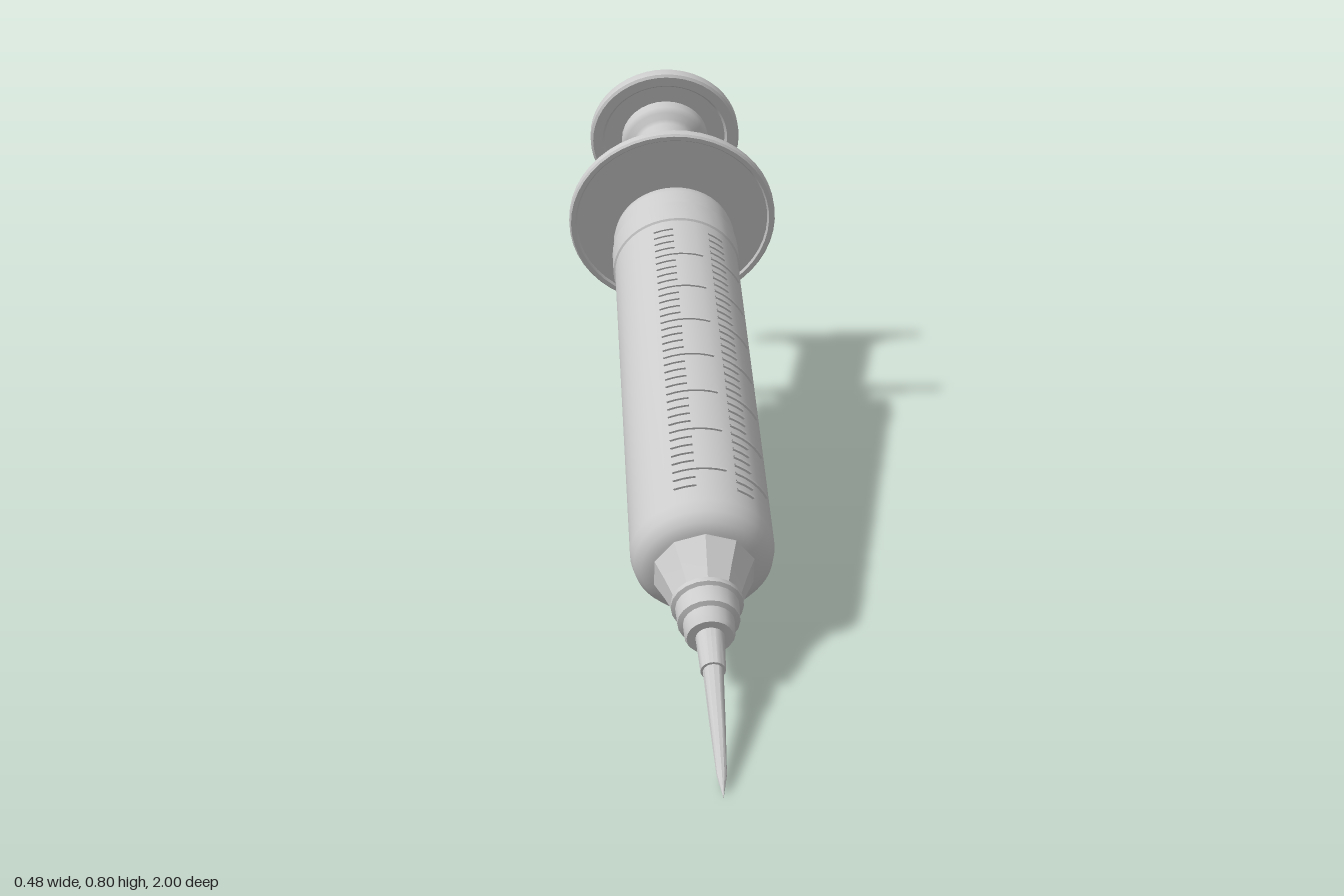
import * as THREE from 'three';
import { toCreasedNormals } from 'three/addons/utils/BufferGeometryUtils.js';

export function createModel() {
  const model = new THREE.Group();
  model.name = 'syringe';
  const body = new THREE.Group();
  body.name = 'tiltedBody';
  model.add(body);

  const material = new THREE.MeshStandardMaterial({ color: 0xcccccc });
  const thin = new THREE.MeshStandardMaterial({ color: 0xcccccc, side: THREE.DoubleSide });

  // Turned part: profile of [radius, distance from the needle tip]
  function turned(name, profile, sides = 40, crease = 0.6) {
    const pts = profile.map(([r, s]) => new THREE.Vector2(r, s));
    const geo = toCreasedNormals(new THREE.LatheGeometry(pts, sides), crease);
    const mesh = new THREE.Mesh(geo, material);
    mesh.name = name;
    body.add(mesh);
    return mesh;
  }

  // Needle, its point bent slightly towards the underside
  const needle = turned('needle', [[0, -0.006], [0.009, 0.04], [0.014, 0.14], [0.019, 0.265]], 12);
  const pos = needle.geometry.attributes.position;
  for (let i = 0; i < pos.count; i++) {
    pos.setZ(i, pos.getZ(i) - 0.022 * (1 - pos.getY(i) / 0.265));
  }
  needle.geometry.computeBoundingSphere();

  // Needle hub with stepped collar
  turned('needleHub', [
    [0, 0.26], [0.023, 0.26], [0.027, 0.34], [0.043, 0.34], [0.047, 0.347], [0.048, 0.375],
    [0.058, 0.378], [0.06, 0.415], [0.068, 0.418], [0.068, 0.428], [0, 0.43],
  ], 20);

  // Faceted nozzle
  turned('nozzle', [[0, 0.425], [0.065, 0.425], [0.08, 0.465], [0.102, 0.515], [0.102, 0.53]], 10, 0.3);

  // Barrel with rounded shoulder, raised band and narrow neck
  turned('barrel', [
    [0, 0.508], [0.1, 0.508], [0.119, 0.518], [0.132, 0.535], [0.138, 0.56], [0.139, 1.46],
    [0.143, 1.463], [0.143, 1.527], [0.139, 1.53], [0.139, 1.575], [0.135, 1.595], [0.125, 1.605],
    [0.092, 1.607], [0.092, 1.66],
  ], 48);

  // Ribs around the neck
  for (let i = 0; i < 3; i++) {
    const s = 1.614 + i * 0.013;
    turned('neckRib', [[0.09, s], [0.099, s + 0.002], [0.099, s + 0.007], [0.09, s + 0.009]], 32);
  }

  // Finger flange with raised rim and a collar around the plunger
  turned('fingerFlange', [
    [0.08, 1.654], [0.222, 1.654], [0.226, 1.649], [0.236, 1.649], [0.24, 1.654], [0.24, 1.67],
    [0.236, 1.675], [0.226, 1.675], [0.222, 1.67], [0.118, 1.67], [0.114, 1.682], [0.1, 1.688], [0.07, 1.688],
  ], 48);

  // Plunger rod flaring into the thumb rest
  turned('plungerRod', [[0.076, 1.65], [0.078, 1.955], [0.084, 1.965], [0.098, 1.972], [0.106, 1.985], [0.106, 2.015]], 32);
  turned('thumbRest', [
    [0.07, 2.011], [0.148, 2.011], [0.154, 2.004], [0.177, 2.004], [0.183, 2.009],
    [0.183, 2.032], [0.179, 2.039], [0, 2.039],
  ], 48);

  // Two graduated scales; every fifth mark is longer
  function mark(name, s, from, to) {
    const w = 0.0028;
    const pts = [[0.137, -w], [0.1425, -w], [0.1425, w], [0.137, w]]
      .map(([r, d]) => new THREE.Vector2(r, s + d));
    const start = THREE.MathUtils.degToRad(from);
    const length = THREE.MathUtils.degToRad(to - from);
    const geo = toCreasedNormals(new THREE.LatheGeometry(pts, 6, start, length), 0.6);
    const mesh = new THREE.Mesh(geo, thin);
    mesh.name = name;
    body.add(mesh);
  }
  for (let i = 0; i < 37; i++) {
    const s = 0.6 + i * 0.023;
    const major = i % 5 === 2;
    mark('upperScaleMark', s, -23, major ? 20 : -5);
    mark('sideScaleMark', s, 28, major ? 66 : 44);
  }

  // Tilt so the needle point rests on the ground at the front
  body.rotation.x = -THREE.MathUtils.degToRad(72.7);
  body.position.set(0, 0.024, 0.994);
  return model;
}
